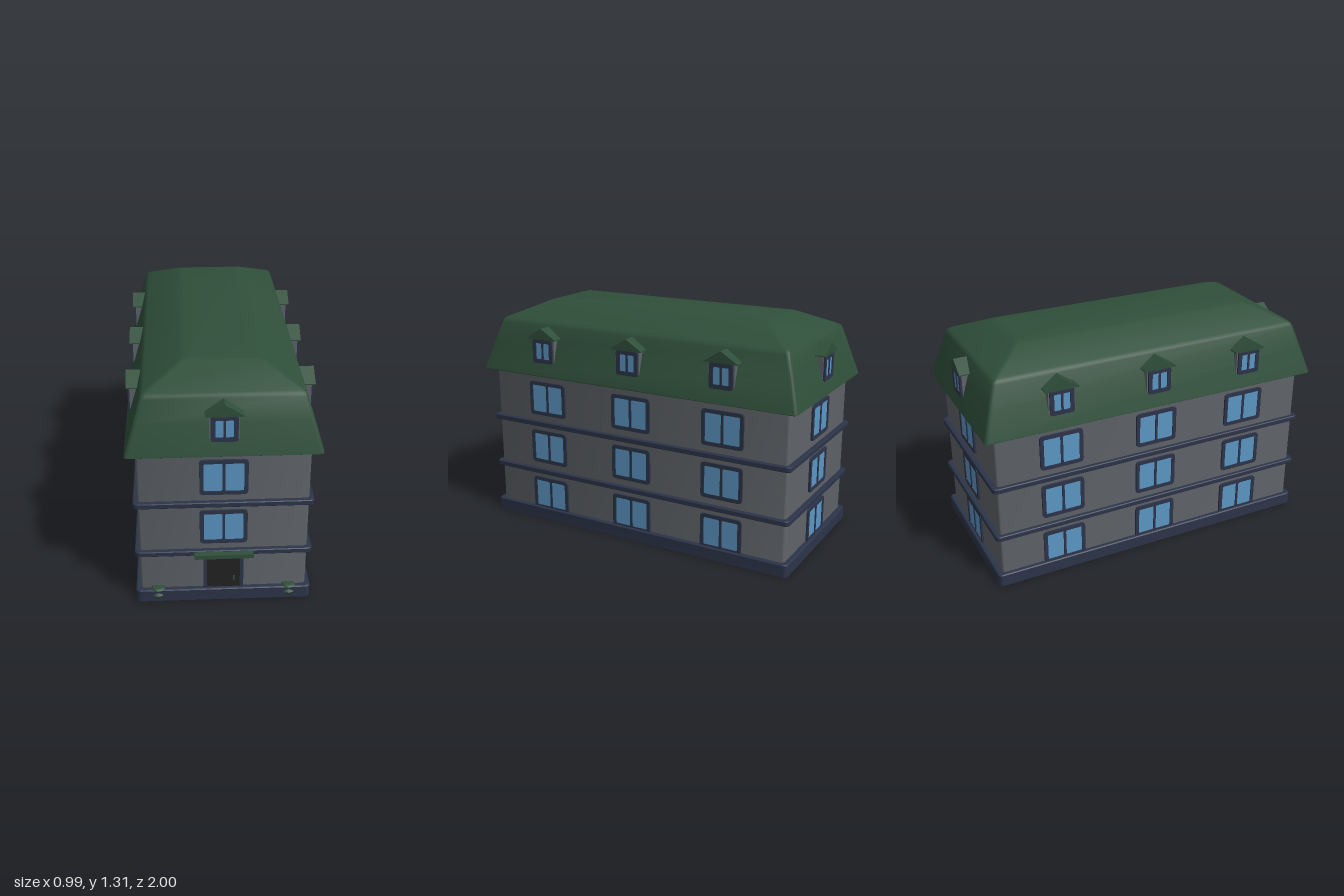
import * as THREE from 'three';
import { toCreasedNormals } from 'three/addons/utils/BufferGeometryUtils.js';

const material = (name, color) => Object.assign(new THREE.MeshStandardMaterial({ color }), { name });
const wallGrey = material('wall grey', 0x5f6368);
const trimNavy = material('trim navy', 0x2c3449);
const roofGreen = material('roof green', 0x2f4f3a);
const glassBlue = material('glass blue', 0x5b96c4);
const doorBlack = material('door black', 0x232323);

function add(parent, name, geometry, mat, x = 0, y = 0, z = 0) {
  const mesh = new THREE.Mesh(geometry, mat);
  mesh.name = name;
  mesh.position.set(x, y, z);
  parent.add(mesh);
  return mesh;
}

// Solid lofted through rounded rectangles; each layer is [inset, y]
function loft(halfX, halfZ, radius, layers) {
  const steps = 4, loops = [];
  for (const [inset, y] of layers) {
    const loop = [];
    for (let c = 0; c < 4; c++) {
      const sx = c === 0 || c === 3 ? 1 : -1, sz = c < 2 ? -1 : 1;
      for (let s = 0; s <= steps; s++) {
        const a = (c + s / steps) * Math.PI / 2;
        loop.push([
          sx * (halfX - inset - radius) + radius * Math.cos(a), y,
          sz * (halfZ - inset - radius) - radius * Math.sin(a)]);
      }
    }
    loops.push(loop);
  }
  const pos = [], n = loops[0].length, last = loops.length - 1;
  const tri = (a, b, c) => pos.push(...a, ...b, ...c);
  for (let i = 0; i < n; i++) {
    const j = (i + 1) % n;
    for (let k = 0; k < last; k++) {
      const lo = loops[k], hi = loops[k + 1];
      tri(lo[i], lo[j], hi[j]);
      tri(lo[i], hi[j], hi[i]);
    }
    tri([0, layers[last][1], 0], loops[last][i], loops[last][j]);
    tri([0, layers[0][1], 0], loops[0][j], loops[0][i]);
  }
  const g = new THREE.BufferGeometry();
  g.setAttribute('position', new THREE.Float32BufferAttribute(pos, 3));
  return toCreasedNormals(g, 0.6);
}

function roundedRect(target, x0, y0, x1, y1, r) {
  target.moveTo(x0 + r, y0);
  target.lineTo(x1 - r, y0);
  target.quadraticCurveTo(x1, y0, x1, y0 + r);
  target.lineTo(x1, y1 - r);
  target.quadraticCurveTo(x1, y1, x1 - r, y1);
  target.lineTo(x0 + r, y1);
  target.quadraticCurveTo(x0, y1, x0, y1 - r);
  target.lineTo(x0, y0 + r);
  target.quadraticCurveTo(x0, y0, x0 + r, y0);
  return target;
}

const extrude = (shape, depth) =>
  new THREE.ExtrudeGeometry(shape, { depth, bevelEnabled: false, curveSegments: 4 });

// Two-pane window, centred in x and y, its back at z = 0
function makeWindow(name, w, h, border, bar, r) {
  const group = new THREE.Group();
  group.name = name;
  const frame = roundedRect(new THREE.Shape(), -w / 2, -h / 2, w / 2, h / 2, r);
  const pw = w / 2 - border, ph = h / 2 - border;
  frame.holes.push(
    roundedRect(new THREE.Path(), -pw, -ph, -bar, ph, r * 0.4),
    roundedRect(new THREE.Path(), bar, -ph, pw, ph, r * 0.4));
  add(group, 'windowFrame', extrude(frame, 0.011), trimNavy);
  add(group, 'windowGlass', new THREE.BoxGeometry(pw * 2 + 0.01, ph * 2 + 0.01, 0.006), glassBlue, 0, 0, 0.003);
  return group;
}

// Gabled dormer whose eave edge sits at z = 0 and which runs back into the roof
function makeDormer() {
  const group = new THREE.Group();
  group.name = 'dormer';
  add(group, 'dormerBody', new THREE.BoxGeometry(0.15, 0.15, 0.1), wallGrey, 0, 1.06, -0.067);
  const gable = new THREE.Shape();
  gable.moveTo(-0.095, 1.125);
  gable.lineTo(0.095, 1.125);
  gable.lineTo(0.095, 1.131);
  gable.lineTo(0, 1.19);
  gable.lineTo(-0.095, 1.131);
  add(group, 'dormerRoof', extrude(gable, 0.1), roofGreen, 0, 0, -0.1);
  const win = makeWindow('dormerWindow', 0.136, 0.14, 0.023, 0.006, 0.015);
  win.position.set(0, 1.055, -0.018);
  group.add(win);
  return group;
}

function makeEntrance(z) {
  const group = new THREE.Group();
  group.name = 'entrance';
  const surround = new THREE.Shape();
  surround.moveTo(-0.106, 0.06);
  surround.lineTo(0.106, 0.06);
  surround.lineTo(0.106, 0.26);
  surround.quadraticCurveTo(0.106, 0.28, 0.086, 0.28);
  surround.lineTo(-0.086, 0.28);
  surround.quadraticCurveTo(-0.106, 0.28, -0.106, 0.26);
  const opening = new THREE.Path();
  opening.moveTo(-0.087, 0.065);
  opening.lineTo(-0.087, 0.26);
  opening.lineTo(0.087, 0.26);
  opening.lineTo(0.087, 0.065);
  surround.holes.push(opening);
  add(group, 'doorFrame', extrude(surround, 0.014), trimNavy, 0, 0, z);
  add(group, 'door', new THREE.BoxGeometry(0.176, 0.2, 0.008), doorBlack, 0, 0.162, z + 0.004);
  add(group, 'doorHandle', new THREE.BoxGeometry(0.008, 0.026, 0.014), roofGreen, 0.055, 0.13, z + 0.012);
  add(group, 'canopy', new THREE.BoxGeometry(0.31, 0.023, 0.07), roofGreen, 0, 0.303, z + 0.025);

  // Potted plants set into the plinth beside the door
  const profile = [[0, 0.002], [0.014, 0.004], [0.024, 0.022], [0.036, 0.04], [0.022, 0.05],
    [0.012, 0.06], [0.014, 0.072], [0.038, 0.076], [0.03, 0.084], [0, 0.087]];
  const plant = new THREE.LatheGeometry(profile.map(([r, y]) => new THREE.Vector2(r, y)), 10);
  for (const side of [-1, 1])
    add(group, 'planter', toCreasedNormals(plant, 0.5), roofGreen, side * 0.35, 0, z + 0.008);
  return group;
}

export function createModel() {
  const model = new THREE.Group();
  model.name = 'house';

  // Walls, plinth and floor bands
  add(model, 'walls', loft(0.442, 0.942, 0.02, [[0, 0.03], [0, 0.92]]), wallGrey);
  add(model, 'plinth', loft(0.467, 0.97, 0.025, [[0, 0], [0, 0.066], [0.005, 0.071]]), trimNavy);
  for (const y of [0.305, 0.605])
    add(model, 'floorBand', loft(0.465, 0.968, 0.025,
      [[0.004, y - 0.015], [0, y - 0.011], [0, y + 0.011], [0.004, y + 0.015]]), trimNavy);

  // Mansard roof with softened breaks
  add(model, 'roof', loft(0.495, 1, 0.02, [
    [0.008, 0.906], [0, 0.911], [0.002, 0.921], [0.05, 1.08], [0.083, 1.188], [0.09, 1.203],
    [0.104, 1.215], [0.28, 1.297], [0.298, 1.305], [0.325, 1.31]]), roofGreen);

  // Windows and dormers on all four faces
  const spread = [-0.57, 0, 0.57];
  const faces = [
    { name: 'front', turn: 0, wall: 0.942, eave: 0.992, columns: [0] },
    { name: 'left', turn: 1, wall: 0.442, eave: 0.487, columns: spread },
    { name: 'back', turn: 2, wall: 0.942, eave: 0.992, columns: [0] },
    { name: 'right', turn: 3, wall: 0.442, eave: 0.487, columns: spread },
  ];
  for (const { name, turn, wall, eave, columns } of faces) {
    const face = new THREE.Group();
    face.name = name + 'Face';
    face.rotation.y = turn * Math.PI / 2;
    for (const x of columns) {
      for (const y of [0.16, 0.46, 0.76]) {
        if (name === 'front' && y === 0.16) continue;
        const win = makeWindow('window', 0.248, 0.203, 0.021, 0.007, 0.022);
        win.position.set(x, y, wall);
        face.add(win);
      }
      const dormer = makeDormer();
      dormer.position.set(x, 0, eave);
      face.add(dormer);
    }
    model.add(face);
  }

  model.add(makeEntrance(0.942));
  return model;
}
